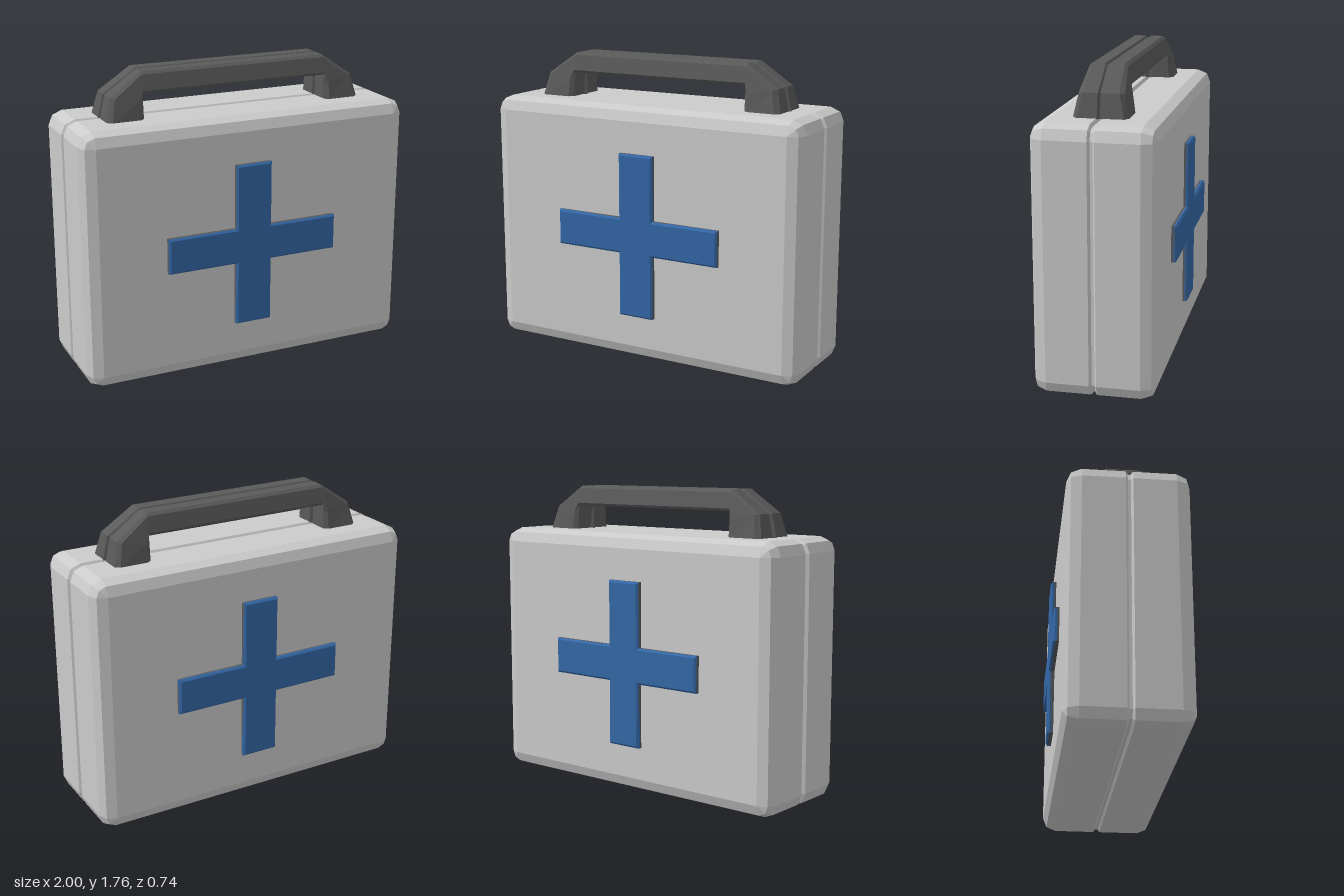
import * as THREE from 'three';

const paint = (color) => new THREE.MeshStandardMaterial({ color, flatShading: true });

// Skins a series of closed loops, with optional flat ends
function loft(rings, capped) {
  const pos = [];
  const tri = (a, b, c) => {
    const n = b.clone().sub(a).cross(c.clone().sub(a));
    if (n.length() > 1e-9) for (const p of [a, b, c]) pos.push(p.x, p.y, p.z);
  };
  const n = rings[0].length;
  for (let i = 0; i < rings.length - 1; i++) {
    for (let j = 0; j < n; j++) {
      const k = (j + 1) % n;
      tri(rings[i][j], rings[i + 1][j], rings[i][k]);
      tri(rings[i][k], rings[i + 1][j], rings[i + 1][k]);
    }
  }
  if (capped) {
    const first = rings[0], last = rings[rings.length - 1];
    for (let j = 1; j < n - 1; j++) {
      tri(first[0], first[j], first[j + 1]);
      tri(last[0], last[j + 1], last[j]);
    }
  }
  const geo = new THREE.BufferGeometry();
  geo.setAttribute('position', new THREE.Float32BufferAttribute(pos, 3));
  geo.computeVertexNormals();
  return geo;
}

function part(name, geometry, material) {
  const mesh = new THREE.Mesh(geometry, material);
  mesh.name = name;
  return mesh;
}

// Rounded box with a two-step bevel and a seam groove round the middle
function caseGeometry() {
  const R = 0.08;
  const ring = (z, r) => {
    const pts = [];
    for (let q = 0; q < 4; q++) {
      const cx = (q === 0 || q === 3 ? 1 : -1) * (1 - R);
      const cy = 0.75 + (q < 2 ? 1 : -1) * (0.75 - R);
      for (let s = 0; s <= 2; s++) {
        const a = (q + s / 2) * Math.PI / 2;
        pts.push(new THREE.Vector3(cx + r * Math.cos(a), cy + r * Math.sin(a), z));
      }
    }
    return pts;
  };
  const half = [[0.34, 0], [0.317, R * 0.707], [0.26, R], [0.02, R], [0.008, R - 0.018]];
  const back = half.map(([z, r]) => [-z, r]).reverse();
  return loft([...half, ...back].map(([z, r]) => ring(z, r)), true);
}

// Arched grip: chamfered, grooved section carried from foot to foot
function handleGeometry() {
  // outer x, outer y, inner x, inner y, half depths: outer face, outer side, inner side, inner face
  const half = [
    [0.786, 1.495, 0.567, 1.495, 0.13, 0.152, 0.152, 0.13],
    [0.755, 1.63, 0.567, 1.6, 0.1, 0.125, 0.137, 0.12],
    [0.565, 1.76, 0.567, 1.642, 0.088, 0.105, 0.125, 0.115],
  ];
  const mirrored = half.map(([a, b, c, ...rest]) => [-a, b, -c, ...rest]).reverse();
  const rings = [...half, ...mirrored].map(([ox, oy, ix, iy, z0, z1, z2, z3]) => {
    const side = [[0.1, 0.007], [0, 0.016], [0, z0], [0.13, z1], [0.88, z2], [1, z3], [1, 0.016], [0.92, 0.007]];
    const other = side.map(([t, z]) => [t, -z]).reverse();
    return [...side, ...other].map(([t, z]) =>
      new THREE.Vector3(ox + (ix - ox) * t, oy + (iy - oy) * t, z));
  });
  return loft(rings, false);
}

// Cross outline, shrunk by an inset
function crossShape(inset) {
  const L = 0.525 - inset, H = 0.482 - inset, w = 0.11 - inset, h = 0.105 - inset;
  return new THREE.Shape([
    [w, -H], [w, -h], [L, -h], [L, h], [w, h], [w, H],
    [-w, H], [-w, h], [-L, h], [-L, -h], [-w, -h], [-w, -H],
  ].map(([x, y]) => new THREE.Vector2(x, y)));
}

export function createModel() {
  const group = new THREE.Group();
  const grey = paint(0xcccccc), dark = paint(0x5a5a5a), blue = paint(0x3468a8);

  group.add(part('case', caseGeometry(), grey));
  group.add(part('handle', handleGeometry(), dark));

  // Raised cross on the front and the back
  const base = new THREE.ExtrudeGeometry(crossShape(0), { depth: 0.03, bevelEnabled: false });
  const face = new THREE.ExtrudeGeometry(crossShape(0.011), {
    depth: 0.012, bevelThickness: 0.01, bevelSize: 0.011, bevelSegments: 1,
  });
  for (const [name, turn] of [['frontCross', 0], ['backCross', Math.PI]]) {
    const cross = new THREE.Group();
    cross.name = name;
    const plate = part('crossBase', base, dark);
    plate.position.z = 0.33;
    const inlay = part('crossFace', face, blue);
    inlay.position.z = 0.35;
    cross.add(plate, inlay);
    cross.position.y = 0.754;
    cross.rotation.y = turn;
    group.add(cross);
  }
  return group;
}
